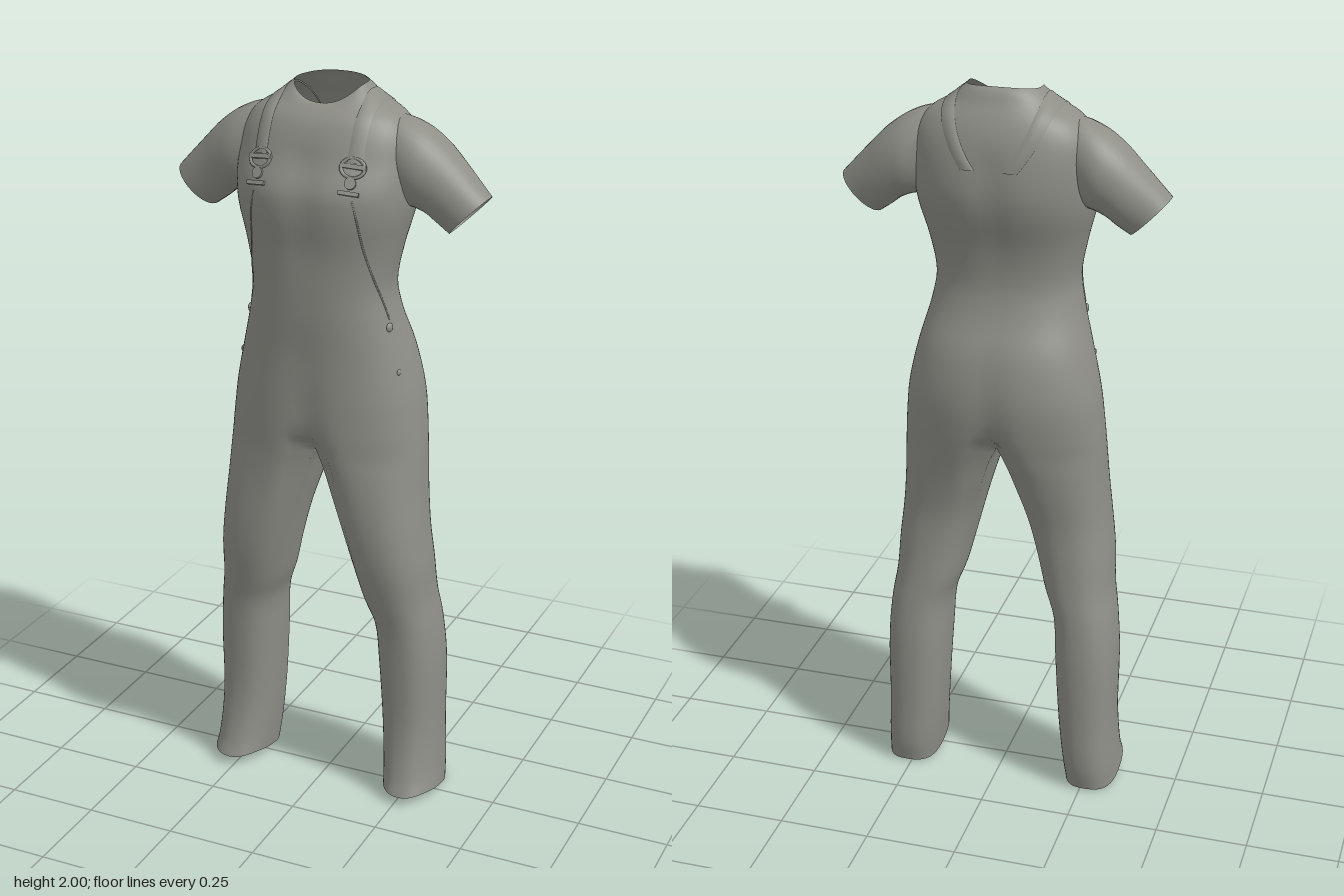
import * as THREE from 'three';
import { mergeGeometries, mergeVertices } from 'three/addons/utils/BufferGeometryUtils.js';

const material = new THREE.MeshStandardMaterial({ color: 0x8f8f88, side: THREE.DoubleSide });
const rad = THREE.MathUtils.degToRad;
const pow = (v, e) => Math.sign(v) * Math.abs(v) ** e;
const V = (x, y, z) => new THREE.Vector3(x, y, z);
const OUT = 40, IN = 14, STEPS = 4; // outer arc, inner leg arc, steps between rows

// Skins a list of rings smoothly; adjust() edits points, keep() drops quads
function loft(rings, flip, adjust = () => {}, keep = () => true) {
  const n = rings[0].length, rows = (rings.length - 1) * STEPS, pos = [], index = [];
  const curves = rings[0].map((_, j) => new THREE.CatmullRomCurve3(rings.map(r => r[j])));
  for (let i = 0; i <= rows; i++) {
    for (let j = 0; j < n; j++) {
      const p = curves[j].getPoint(i / rows);
      adjust(p, i, j);
      pos.push(p.x, p.y, p.z);
      if (i === rows || j === n - 1 || !keep(i, j)) continue;
      const a = i * n + j, b = a + 1, c = a + n, d = c + 1;
      index.push(...(flip ? [a, b, c, b, d, c] : [a, c, b, b, c, d]));
    }
  }
  const g = new THREE.BufferGeometry();
  g.setAttribute('position', new THREE.Float32BufferAttribute(pos, 3));
  g.setIndex(index);
  return g;
}

// Leg rows: y, outer x, inner x, front z, back z, blend towards the torso shape
const legRows = [
  [0.015, 0.338, 0.188, 0.125, -0.125, 0],
  [0.07, 0.334, 0.182, 0.108, -0.138, 0],
  [0.2, 0.328, 0.17, 0.085, -0.14, 0],
  [0.4, 0.328, 0.157, 0.09, -0.138, 0],
  [0.52, 0.318, 0.148, 0.1, -0.128, 0],
  [0.6, 0.306, 0.12, 0.118, -0.12, 0],
  [0.7, 0.3, 0.095, 0.141, -0.115, 0.1],
  [0.8, 0.289, 0.07, 0.154, -0.118, 0.3],
  [0.9, 0.28, 0.042, 0.16, -0.138, 0.6],
  [0.97, 0.276, 0.022, 0.162, -0.154, 0.85],
];
// Torso rows: y, half width, front z, back z, centre notch, front and back y shift
const torsoRows = [
  [1.025, 0.273, 0.163, -0.166, 0.4, 0, 0],
  [1.08, 0.268, 0.165, -0.177, 0.12, 0, 0],
  [1.18, 0.256, 0.166, -0.188, 0.05, 0, 0],
  [1.3, 0.229, 0.166, -0.172, 0.02, 0, 0],
  [1.4, 0.202, 0.17, -0.132, 0, 0, 0],
  [1.48, 0.19, 0.172, -0.115, 0, 0, 0],
  [1.58, 0.207, 0.176, -0.126, 0.02, 0, 0],
  [1.68, 0.232, 0.19, -0.158, 0.04, 0, 0],
  [1.74, 0.238, 0.187, -0.168, 0.05, 0, 0],
  [1.81, 0.238, 0.155, -0.163, 0.04, 0, 0],
  [1.87, 0.228, 0.131, -0.15, 0, 0, 0],
  [1.915, 0.196, 0.112, -0.133, 0, -0.008, 0],
  [1.95, 0.138, 0.09, -0.108, 0, -0.02, 0.008],
  [1.976, 0.108, 0.071, -0.092, 0, -0.034, 0.01],
  [1.988, 0.096, 0.06, -0.08, 0, -0.046, 0.008],
];

// Angles run from the back seam round the outside to the front seam, then inside
const angles = Array.from({ length: OUT + IN + 1 }, (_, j) =>
  rad(j <= OUT ? -150 + 300 * j / OUT : 150 + 60 * (j - OUT) / IN));

function torsoRing([y, hw, zf, zb, notch, yf, yb]) {
  const ring = angles.slice(0, OUT + 1).map(t => {
    const a = t * 0.6, s = Math.sin(a);
    const x = Math.abs(hw * pow(Math.cos(a), 0.85));
    const pinch = 1 - notch * Math.exp(-((x / 0.045) ** 2));
    return V(x, y + (s > 0 ? yf : yb) * s * s,
      (zf + zb) / 2 + (zf - zb) / 2 * pow(s, 0.85) * pinch);
  });
  for (let k = 1; k <= IN; k++) ring.push(ring[OUT].clone().lerp(ring[0], k / IN).setX(0));
  return ring;
}

function legRing([y, xo, xi, zf, zb, blend], row) {
  const thigh = torsoRing([y, xo - xi, zf, zb, 0.4, 0, 0]);
  return angles.map((t, j) => V(
    (xo + xi) / 2 + (xo - xi) / 2 * pow(Math.cos(t), 0.85),
    y + (row === 0 ? 0.016 * Math.sin(t) + 0.006 * Math.sin(3 * t) : 0),
    (zf + zb) / 2 + (zf - zb) / 2 * pow(Math.sin(t), 0.85)
  ).lerp(thigh[j].setX(thigh[j].x + xi), blend));
}

// One suit from two halves welded along the centre
function bodyGeometry() {
  const rings = [...legRows.map(legRing), ...torsoRows.map(torsoRing)];
  const crotch = legRows.length * STEPS;
  const half = side => loft(rings, side < 0, (p, i, j) => {
    p.x = i >= crotch && (j === 0 || j >= OUT) ? 0 : Math.max(p.x, 0) * side;
  }, (i, j) => i < crotch || j < OUT);
  const g = mergeVertices(mergeGeometries([half(1), half(-1)]), 1e-5);
  g.computeVertexNormals();
  return g;
}

// Sleeve rows, starting inside the shoulder: top x, y, bottom x, y, front z, back z
const sleeveRows = [
  [0.12, 1.9, 0.18, 1.72, 0.05, -0.07],
  [0.187, 1.917, 0.216, 1.69, 0.073, -0.094],
  [0.25, 1.897, 0.244, 1.684, 0.08, -0.109],
  [0.305, 1.86, 0.272, 1.672, 0.073, -0.106],
  [0.36, 1.805, 0.298, 1.652, 0.063, -0.096],
  [0.432, 1.728, 0.332, 1.628, 0.054, -0.078],
];
function sleeveGeometry(side) {
  const rings = sleeveRows.map(([ax, ay, bx, by, zf, zb]) => Array.from({ length: 37 }, (_, j) => {
    const c = Math.cos(j * Math.PI / 18), s = Math.sin(j * Math.PI / 18);
    return V(side * ((ax + bx) / 2 + (ax - bx) / 2 * c), (ay + by) / 2 + (ay - by) / 2 * c,
      (zf + zb) / 2 + (zf - zb) / 2 * pow(s, 0.9));
  }));
  const g = mergeVertices(loft(rings, side > 0), 1e-5);
  g.computeVertexNormals();
  return g;
}

export function createModel() {
  const group = new THREE.Group();
  const add = (name, geometry, parent = group) => {
    const mesh = new THREE.Mesh(geometry, material);
    mesh.name = name;
    parent.add(mesh);
    return mesh;
  };
  const body = add('suitBody', bodyGeometry());

  // Finds the cloth surface outward from an inner point
  const onCloth = (inner, dir, lift) => {
    const caster = new THREE.Raycaster(inner.clone().add(dir), dir.clone().negate());
    const hit = caster.intersectObject(body)[0];
    return (hit ? hit.point : inner.clone()).addScaledVector(dir, lift);
  };
  const around = (deg, y, lift) =>
    onCloth(V(0, y, 0), V(Math.sin(rad(deg)), 0, Math.cos(rad(deg))), lift);

  for (const side of [1, -1]) {
    const label = side > 0 ? 'left' : 'right';
    add(label + 'Sleeve', sleeveGeometry(side));

    // Shoulder strap, from the buckle over the shoulder to the back
    const strapRings = Array.from({ length: 25 }, (_, i) => {
      const a = rad(10 + 165 * i / 24), k = Math.max(0, (i - 12) / 12);
      const x = 0.13 - 0.075 * k * k;
      const dir = V(0, Math.sin(a), Math.cos(a));
      return [[-0.019, -0.004], [-0.018, 0.003], [0, 0.004], [0.018, 0.003], [0.019, -0.004]]
        .map(([w, lift]) => onCloth(V(side * (x + w), 1.79, -0.02), dir, lift));
    });
    const strap = loft(strapRings, side < 0);
    strap.computeVertexNormals();
    add(label + 'Strap', strap);

    // Buckle: wire loop, bar and bib button
    const buckle = new THREE.Group();
    buckle.name = label + 'Buckle';
    buckle.position.copy(onCloth(V(side * 0.127, 1.785, 0), V(0, 0, 1), 0.003));
    buckle.rotation.set(-0.45, side * 0.2, 0);
    buckle.scale.setScalar(1.15);
    group.add(buckle);
    const loop = add('buckleLoop', new THREE.TorusGeometry(0.024, 0.004, 6, 20), buckle);
    loop.position.y = 0.022;
    loop.scale.set(1.1, 0.9, 1);
    add('buckleBar', new THREE.BoxGeometry(0.058, 0.01, 0.009), buckle).position.y = 0.025;
    const stud = add('bibButton', new THREE.CylinderGeometry(0.013, 0.013, 0.008, 16), buckle);
    stud.rotation.x = Math.PI / 2;
    stud.position.y = -0.012;
    add('buckleFoot', new THREE.BoxGeometry(0.046, 0.009, 0.008), buckle).position.y = -0.034;

    // Bib edge seam curving down to the side
    const seam = [[39, 1.73], [42, 1.68], [48, 1.6], [57, 1.52], [67, 1.45], [72, 1.4]]
      .map(([deg, y]) => around(side * deg, y, -0.0005));
    add(label + 'BibEdge', new THREE.TubeGeometry(new THREE.CatmullRomCurve3(seam), 40, 0.0025, 6));

    // Side buttons
    for (const [deg, y, r] of [[71, 1.38, 0.012], [74, 1.26, 0.008]]) {
      const button = add(label + 'HipButton', new THREE.SphereGeometry(r, 14, 10));
      button.position.copy(around(side * deg, y, 0));
      button.rotation.y = rad(side * deg);
      button.scale.z = 0.5;
    }
  }
  return group;
}
